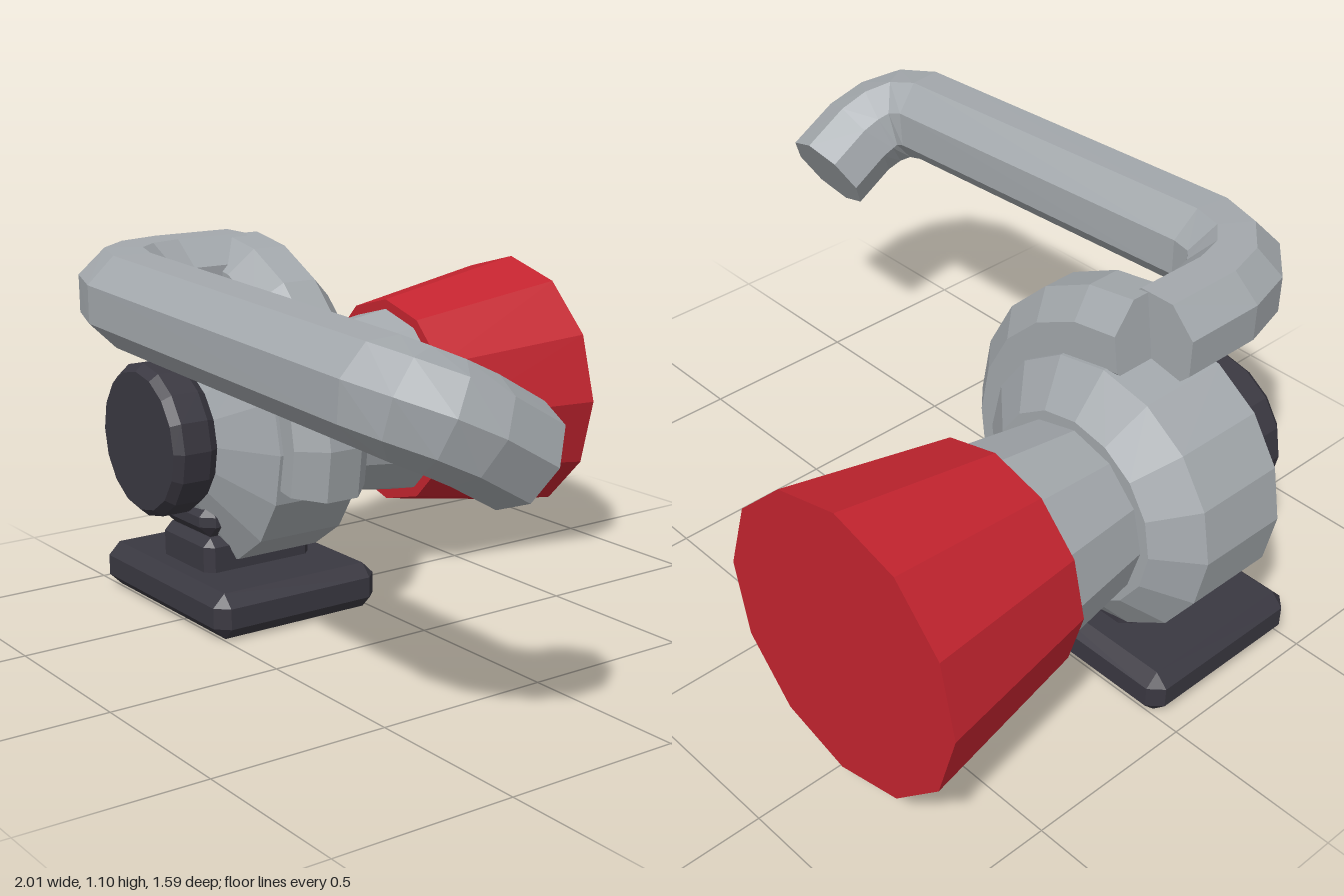
import * as THREE from 'three';
import { ConvexGeometry } from 'three/addons/geometries/ConvexGeometry.js';

const mat = (name, color) => {
  const m = new THREE.MeshStandardMaterial({ color, flatShading: true });
  m.name = name;
  return m;
};

// Box with every edge bevelled by c
function chamferBox(w, h, d, c) {
  const pts = [], half = [w / 2, h / 2, d / 2];
  for (const sx of [-1, 1]) for (const sy of [-1, 1]) for (const sz of [-1, 1])
    for (let full = 0; full < 3; full++) {
      const p = half.map((v, i) => (i === full ? v : v - c));
      pts.push(new THREE.Vector3(sx * p[0], sy * p[1], sz * p[2]));
    }
  return new ConvexGeometry(pts);
}

// Turned part along z from [radius, z] pairs
function turned(profile, sides) {
  return new THREE.LatheGeometry(profile.map(([r, z]) => new THREE.Vector2(r, z)), sides).rotateX(Math.PI / 2);
}

// Capped octagonal bar swept along points; flats face the start normal
function octBar(points, startNormal, apothem) {
  const sides = 8, radius = apothem / Math.cos(Math.PI / sides);
  const pos = [], index = [], n = points.length;
  const normal = startNormal.clone();
  points.forEach((p, i) => {
    const into = p.clone().sub(points[Math.max(i - 1, 0)]).normalize();
    const out = points[Math.min(i + 1, n - 1)].clone().sub(p).normalize();
    const t = into.add(out).normalize();
    normal.addScaledVector(t, -normal.dot(t)).normalize();
    const side = t.clone().cross(normal);
    for (let j = 0; j < sides; j++) {
      const a = ((j + 0.5) / sides) * Math.PI * 2;
      const v = p.clone().addScaledVector(normal, radius * Math.cos(a)).addScaledVector(side, radius * Math.sin(a));
      pos.push(v.x, v.y, v.z);
    }
  });
  for (let i = 0; i < n - 1; i++)
    for (let j = 0; j < sides; j++) {
      const k = (j + 1) % sides;
      const a = i * sides + j, b = i * sides + k, c = b + sides, d = a + sides;
      index.push(a, b, c, a, c, d);
    }
  const last = (n - 1) * sides;
  for (let j = 1; j < sides - 1; j++) index.push(0, j + 1, j, last, last + j, last + j + 1);
  const g = new THREE.BufferGeometry();
  g.setAttribute('position', new THREE.Float32BufferAttribute(pos, 3));
  g.setIndex(index);
  const flat = g.toNonIndexed();
  flat.computeVertexNormals();
  return flat;
}

export function createModel() {
  const model = new THREE.Group();
  const grey = mat('greyMetal', 0xa3a8ac);
  const red = mat('redCap', 0xc4242f);
  const black = mat('blackPlastic', 0x3a3841);
  const CX = -0.592, CY = 0.527;

  const add = (name, geometry, material, x = 0, y = 0, z = 0) => {
    const m = new THREE.Mesh(geometry, material);
    m.name = name;
    m.position.set(x, y, z);
    model.add(m);
  };

  // Foot plate and stacked pedestal blocks
  add('basePlate', chamferBox(0.695, 0.135, 0.547, 0.037), black, CX, 0.0675, 0.254);
  add('pedestalLower', chamferBox(0.275, 0.13, 0.36, 0.025), black, CX, 0.17, 0.26);
  add('pedestalUpper', chamferBox(0.275, 0.1, 0.27, 0.035), black, CX, 0.285, 0.31);

  // Reel body, tapered neck and flared end cap on one axis
  add('body', turned([[0, -0.02], [0.275, -0.02], [0.39, 0.075], [0.39, 0.345], [0.2, 0.44], [0, 0.44]], 16), grey, CX, CY);
  add('neck', turned([[0, -0.31], [0.292, -0.31], [0.247, -0.01], [0, -0.01]], 12), grey, CX, CY);
  add('endCap', turned([[0, -0.8], [0.41, -0.8], [0.32, -0.297], [0, -0.297]], 12), red, CX, CY);

  // Round front knob
  add('frontKnob', turned([[0, 0.43], [0.2, 0.43], [0.225, 0.468], [0.225, 0.552], [0.203, 0.577], [0, 0.577]], 16), black, CX, CY);

  // Curved bracket hugging the top of the body
  const arc = [];
  for (let i = 0; i <= 6; i++) {
    const a = THREE.MathUtils.degToRad(90 - i * 18);
    arc.push(new THREE.Vector3(-0.62 + 0.42 * Math.cos(a), 0.55 + 0.42 * Math.sin(a), 0.21));
  }
  add('curvedBracket', octBar(arc, new THREE.Vector3(0, 1, 0), 0.125), grey);

  // Long crank arm with a bent tip
  const path = [
    [-0.63, 0.97, 0.21], [-0.63, 0.97, 0.44], [-0.6, 0.97, 0.55], [-0.53, 0.97, 0.63], [-0.42, 0.967, 0.665],
    [0.72, 0.918, 0.665], [0.8, 0.903, 0.642], [0.85, 0.875, 0.585], [0.872, 0.838, 0.515], [0.872, 0.76, 0.383],
  ].map((p) => new THREE.Vector3(...p));
  add('crankArm', octBar(path, new THREE.Vector3(0, 1, 0), 0.126), grey);

  return model;
}
